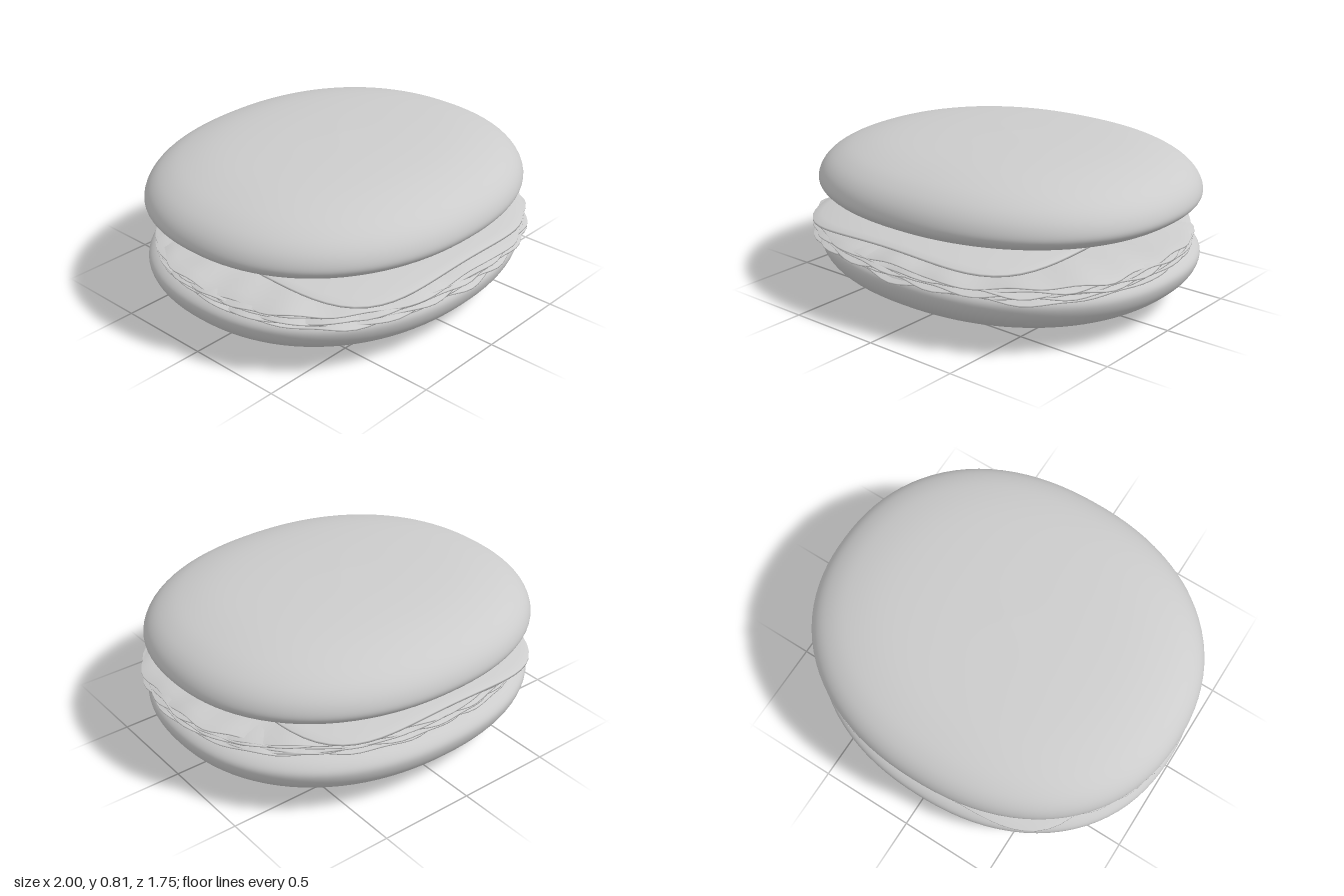
import * as THREE from 'three';
import { mergeVertices } from 'three/addons/utils/BufferGeometryUtils.js';

const material = new THREE.MeshStandardMaterial({ color: 0xcccccc, roughness: 0.8, side: THREE.DoubleSide });

// Radius of a unit superellipse in direction a: 2 is round, larger is squarer
function squircle(a, n) {
  return (Math.abs(Math.cos(a)) ** n + Math.abs(Math.sin(a)) ** n) ** (-1 / n);
}

// Spin a unit profile, then move every vertex by rule(radius, angle, y) -> [x, y, z]
function shapedLathe(name, profile, segments, rule) {
  let geo = new THREE.LatheGeometry(profile, segments);
  geo.deleteAttribute('uv');
  geo.deleteAttribute('normal');
  const p = geo.attributes.position;
  for (let i = 0; i < p.count; i++) {
    const r = Math.hypot(p.getX(i), p.getZ(i));
    const a = r < 1e-6 ? 0 : Math.atan2(p.getZ(i), p.getX(i));
    p.setXYZ(i, ...rule(r, a, p.getY(i)));
  }
  geo = mergeVertices(geo, 1e-5);
  geo.computeVertexNormals();
  const mesh = new THREE.Mesh(geo, material);
  mesh.name = name;
  return mesh;
}

// Profile of a thin disc of unit radius
function discProfile(thickness, rings) {
  const pts = [];
  for (let i = 0; i <= rings; i++) pts.push(new THREE.Vector2(i / rings, -thickness / 2));
  for (let i = rings; i >= 0; i--) pts.push(new THREE.Vector2(i / rings, thickness / 2));
  return pts;
}

// Bun half: nearly flat underside, rolled rim, softly domed crown
function bun(name) {
  const pts = [
    [0, 0.462], [0.35, 0.463], [0.6, 0.468], [0.8, 0.48], [0.91, 0.497], [0.975, 0.528], [1, 0.572],
    [0.975, 0.637], [0.91, 0.695], [0.8, 0.743], [0.62, 0.782], [0.35, 0.805], [0, 0.815],
  ].map(([x, y]) => new THREE.Vector2(x, y));
  const profile = new THREE.SplineCurve(pts).getPoints(72);
  profile[0].x = profile[72].x = 0;
  return shapedLathe(name, profile, 96, (r, a, y) => {
    const s = r * squircle(a, 2.2);
    return [s * Math.cos(a), y, s * Math.sin(a) * 0.868 - 0.012];
  });
}

// Rounded square slice whose corners droop
function cheese() {
  return shapedLathe('cheeseSlice', discProfile(0.012, 20), 96, (r, a, y) => {
    const s = r * squircle(a, 4);
    const x = s * Math.cos(a) * 0.76, z = s * Math.sin(a) * 0.845;
    return [x - 0.04, 0.472 + y - 0.08 * (x * x + z * z) ** 2, z + 0.008];
  });
}

// Wrinkled, ragged slice draped over the lower bun, lower at the front
function meatSlice(k, count) {
  const t = k / (count - 1) - 0.5;
  const ph = k * 1.9;
  return shapedLathe('meatSlice' + (k + 1), discProfile(0.007, 18), 120, (r, a, y) => {
    const front = Math.sin(a) > 0;
    const ragged = 0.978 + 0.012 * Math.sin(9 * a + ph) + 0.008 * Math.sin(17 * a + 2 * ph);
    const s = r * squircle(a, front ? 2.45 : 2.1) * ragged;
    const x = s * Math.cos(a), z = s * Math.sin(a) * 0.86 + 0.012;
    const ripple = r ** 3 * (0.006 * Math.sin(7 * a + ph) + 0.005 * Math.sin(19 * a + 2.3 * ph));
    const crease = 0.004 * Math.sin(11 * x + 5 * z + ph) * r;
    const dome = 0.392 - 0.057 * r ** 4 - 0.03 * z * r;
    return [x, dome + t * (0.03 + 0.03 * r) + ripple + crease + y, z];
  });
}

export function createModel() {
  const group = new THREE.Group();
  group.name = 'sandwich';

  group.add(bun('topBun'));

  // Lower half is the same bun turned over
  const bottom = bun('bottomBun');
  bottom.rotation.x = Math.PI;
  bottom.position.set(0, 0.815, -0.024);
  group.add(bottom);

  group.add(cheese());

  const meat = new THREE.Group();
  meat.name = 'meatSlices';
  const layers = 6;
  for (let k = 0; k < layers; k++) meat.add(meatSlice(k, layers));
  group.add(meat);

  return group;
}
